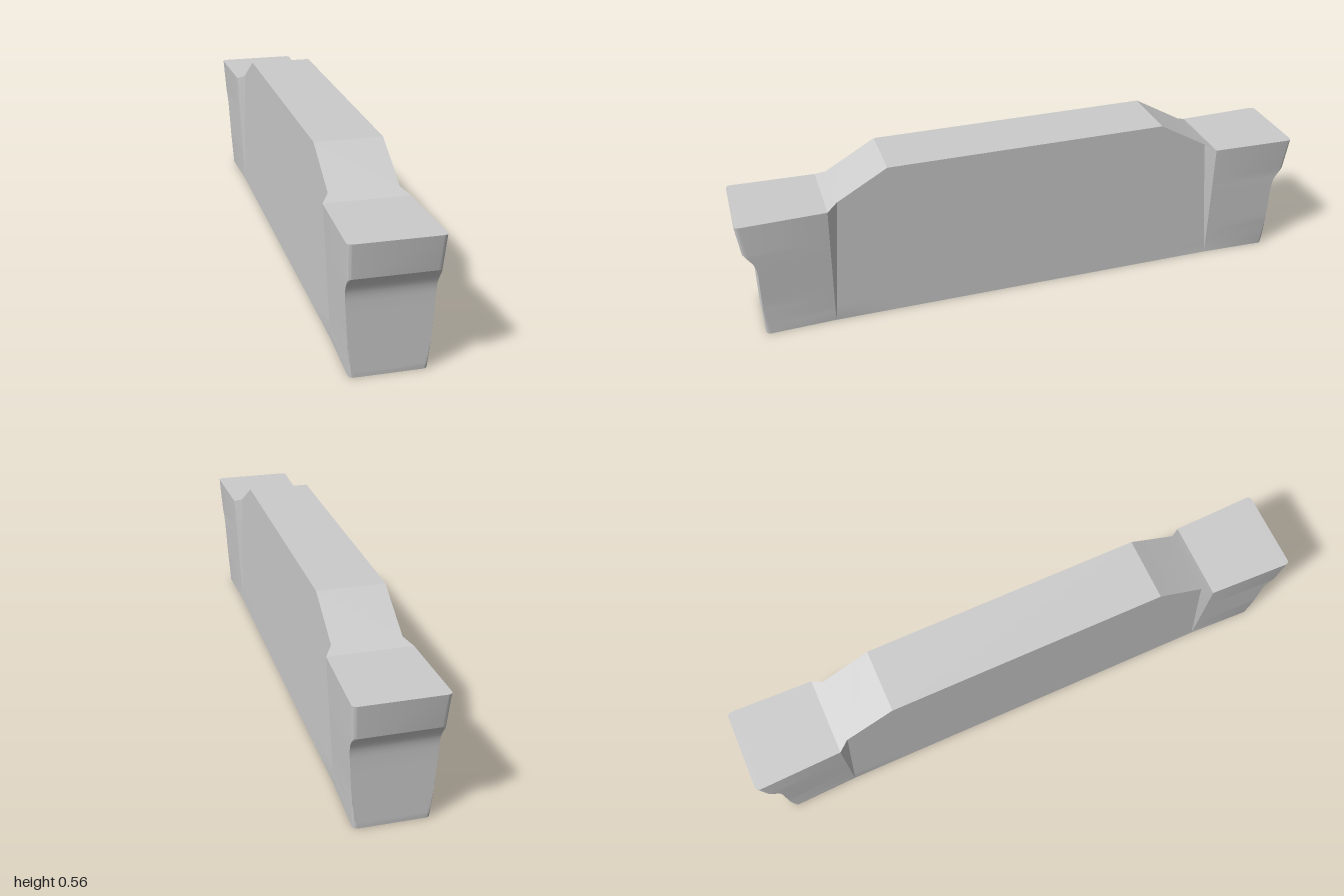
import * as THREE from 'three';
import { toCreasedNormals } from 'three/addons/utils/BufferGeometryUtils.js';

const HEAD_Y = 0.447;   // height of the two end heads
const TOP_Y = 0.565;    // height of the raised middle
const BODY_W = 0.112;   // half width of the middle
const CORNER = 0.015;   // rounded vertical corners of the heads
const ARC = 6;

// Depth of the recess under each head's front lip: [y, z]
const recess = [
  [0, 0.945], [0.01, 0.945], [0.02, 0.945], [0.04, 0.945], [0.06, 0.945], [0.08, 0.945],
  [0.1, 0.945], [0.125, 0.945], [0.15, 0.945], [0.2, 0.945], [0.245, 0.945], [0.26, 0.946],
  [0.275, 0.948], [0.288, 0.952], [0.299, 0.957], [0.311, 0.965], [0.323, 0.975],
  [0.335, 0.986], [HEAD_Y, 2],
];

// One side of the outline at height y, from the front end to the back end
function sidePoints(y, cut) {
  const t = y / HEAD_Y;
  const endZ = 1 - 0.125 * (HEAD_Y - y);
  const endW = 0.12 + 0.026 * t;
  const half = [];
  for (let i = 0; i <= ARC; i++) {
    const a = (i / ARC) * Math.PI / 2;
    const x = endW - CORNER + CORNER * Math.sin(a);
    const z = endZ - CORNER + CORNER * Math.cos(a);
    half.push([x, Math.min(z, cut)]);
  }
  half.push([BODY_W + 0.025 * t, 0.705 - 0.005 * t]);   // neck of the head
  half.push([BODY_W, 0.704 - 0.04 * t]);                // flare meets the middle
  half.push([BODY_W, 0.49]);                            // top of the ramp
  return [...half, ...half.map(([x, z]) => [x, -z]).reverse()];
}

// Top surface: flat heads, ramps, flat raised middle
function topHeight(z) {
  const t = THREE.MathUtils.clamp((0.695 - Math.abs(z)) / 0.205, 0, 1);
  return HEAD_Y + (TOP_Y - HEAD_Y) * t;
}

function insertGeometry() {
  const rings = recess.map(([y, cut]) => {
    const side = sidePoints(y, cut);
    const right = side.map(([x, z]) => new THREE.Vector3(x, y, z));
    const left = side.map(([x, z]) => new THREE.Vector3(-x, y, z)).reverse();
    return [...right, ...left];
  });
  // Last ring follows the ramps and the raised middle
  const last = rings[rings.length - 1];
  rings.push(last.map((p) => new THREE.Vector3(p.x, topHeight(p.z), p.z)));

  const positions = [];
  const triangle = (a, b, c) => {
    const area = b.clone().sub(a).cross(c.clone().sub(a)).length();
    if (area > 1e-9) for (const p of [a, b, c]) positions.push(p.x, p.y, p.z);
  };
  const quad = (a, b, c, d) => { triangle(a, b, c); triangle(a, c, d); };

  // Walls between neighbouring rings
  const n = last.length;
  for (let j = 0; j < rings.length - 1; j++) {
    const lo = rings[j], hi = rings[j + 1];
    for (let i = 0; i < n; i++) {
      const k = (i + 1) % n;
      quad(lo[i], lo[k], hi[k], hi[i]);
    }
  }
  // Top and underside as strips across the width
  const top = rings[rings.length - 1], base = rings[0];
  for (let i = 0; i < n / 2 - 1; i++) {
    quad(top[i], top[i + 1], top[n - 2 - i], top[n - 1 - i]);
    quad(base[n - 1 - i], base[n - 2 - i], base[i + 1], base[i]);
  }

  const geometry = new THREE.BufferGeometry();
  geometry.setAttribute('position', new THREE.Float32BufferAttribute(positions, 3));
  return toCreasedNormals(geometry, 0.35);
}

export function createModel() {
  const group = new THREE.Group();
  group.name = 'cuttingInsert';
  const body = new THREE.Mesh(insertGeometry(), new THREE.MeshStandardMaterial({ color: 0xcccccc }));
  body.name = 'insertBody';
  group.add(body);
  return group;
}
